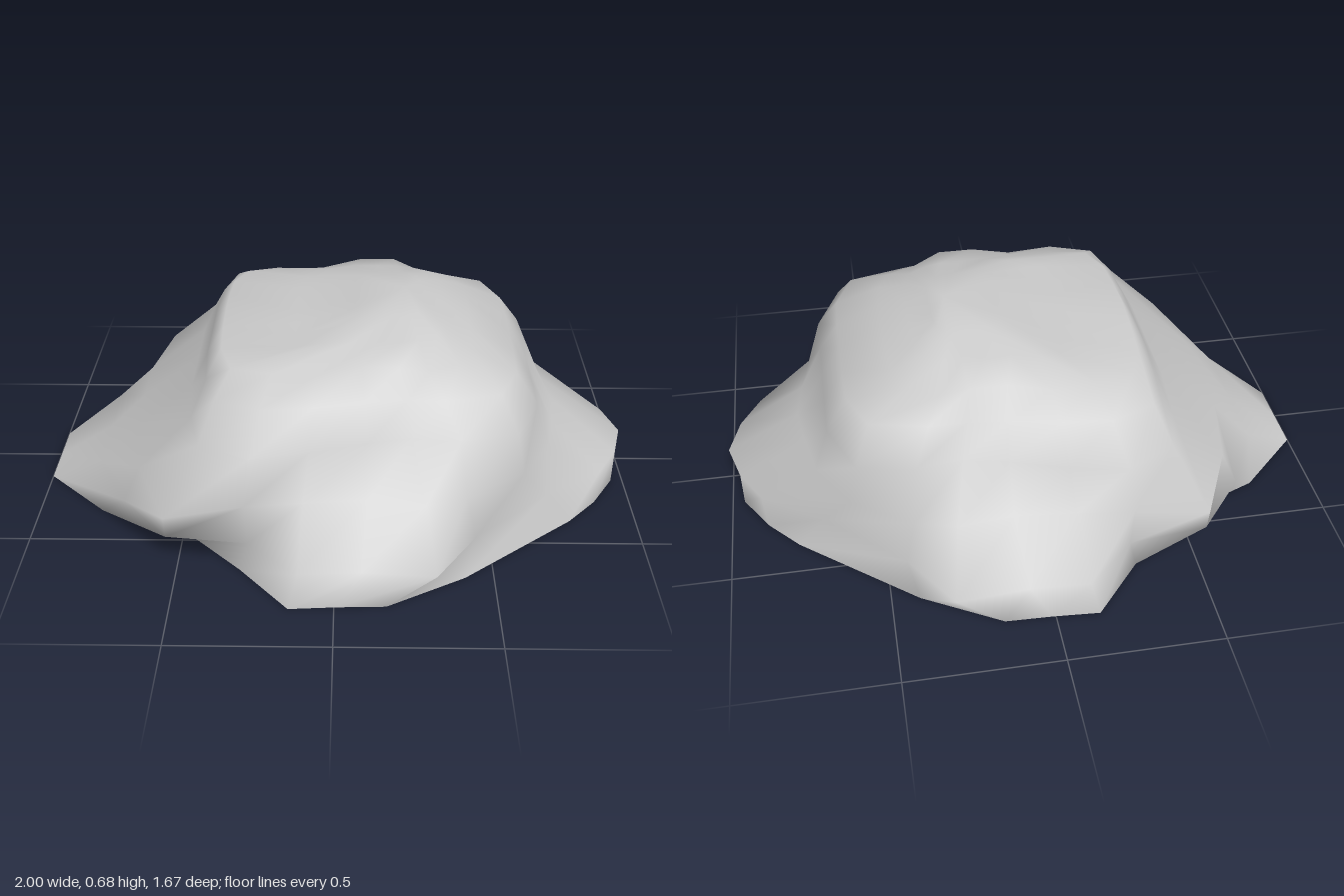
import * as THREE from 'three';

// Half outlines (x, z) running from +x round to -x, mirrored across z
const base = [[.96, 0], [.96, .14], [.88, .27], [.78, .38], [.41, .68], [.16, .82], [.01, .825], [-.14, .835], [-.3, .65], [-.49, .46], [-.79, .34], [-1, .14], [-1, 0]];
const skirt = [[1, 0], [.96, .14], [.89, .26], [.69, .4], [.44, .63], [.31, .825], [.08, .81], [-.11, .82], [-.27, .67], [-.53, .64], [-.69, .45], [-.81, .22], [-.81, 0]];
const waist = [[.75, 0], [.73, .15], [.7, .3], [.6, .47], [.41, .6], [.28, .64], [.1, .62], [-.1, .64], [-.28, .66], [-.53, .655], [-.63, .45], [-.68, .2], [-.68, 0]];
const shoulder = [[.65, 0], [.65, .15], [.65, .3], [.57, .49], [.39, .53], [.24, .51], [.1, .54], [-.08, .6], [-.26, .64], [-.42, .56], [-.46, .4], [-.48, .2], [-.48, 0]];
const crown = [[.44, 0], [.44, .12], [.43, .24], [.39, .33], [.29, .38], [.2, .4], [.08, .4], [-.06, .4], [-.2, .39], [-.33, .36], [-.37, .25], [-.375, .12], [-.375, 0]];

const mix = (a, b, t) => a.map(([x, z], i) => [x + (b[i][0] - x) * t, z + (b[i][1] - z) * t]);
const shrink = (ring, sx, sz) => ring.map(([x, z]) => [.22 + (x - .22) * sx, z * sz]);

export function createModel() {
  const brow = mix(shoulder, crown, .5).map(([x, z]) => [x > .4 ? x + .04 : x, z]);
  const level = (y) => () => y;
  // Each ring has an outline and a height rule; corners sag a little
  const rings = [
    [base, level(0)], [skirt, level(.12)],
    [waist, (x, z) => (x < -.4 && Math.abs(z) > .6 ? .2 : .25)],
    [shoulder, level(.41)], [brow, level(.51)],
    [crown, (x, z) => .6 - (x < 0 || x > .25 ? .09 * Math.abs(z) : 0)],
    [shrink(crown, .6, .72), (x) => .625 + .28 * Math.min(x, 0)],
    [shrink(crown, .27, .42), level(.655)],
  ];
  const positions = [];
  const indices = [];
  const addRing = ([half, height]) => {
    const mirrored = half.slice(1, -1).reverse().map(([x, z]) => [x, -z]);
    for (const [x, z] of [...half, ...mirrored]) positions.push(x, height(x, z), z);
  };

  rings.forEach(addRing);
  const count = base.length * 2 - 2;
  const top = (rings.length - 1) * count;
  const apex = top + count;
  positions.push(.23, .68, 0);

  // Underside has its own rim so the ground edge stays sharp
  const centre = apex + 1;
  positions.push(0, 0, 0);
  addRing(rings[0]);

  for (let i = 0; i < count; i++) {
    const next = (i + 1) % count;
    for (let start = 0; start < top; start += count) {
      const a = start + i, b = start + next;
      indices.push(a, a + count, b, b, a + count, b + count);
    }
    indices.push(top + i, apex, top + next);
    indices.push(centre, centre + 1 + i, centre + 1 + next);
  }

  const geometry = new THREE.BufferGeometry();
  geometry.setAttribute('position', new THREE.Float32BufferAttribute(positions, 3));
  geometry.setIndex(indices);
  geometry.computeVertexNormals();

  const stone = new THREE.MeshStandardMaterial({ color: 0xcccccc });
  stone.name = 'grey stone';
  const boulder = new THREE.Mesh(geometry, stone);
  boulder.name = 'boulder';
  const group = new THREE.Group();
  group.name = 'rock';
  group.add(boulder);
  return group;
}
